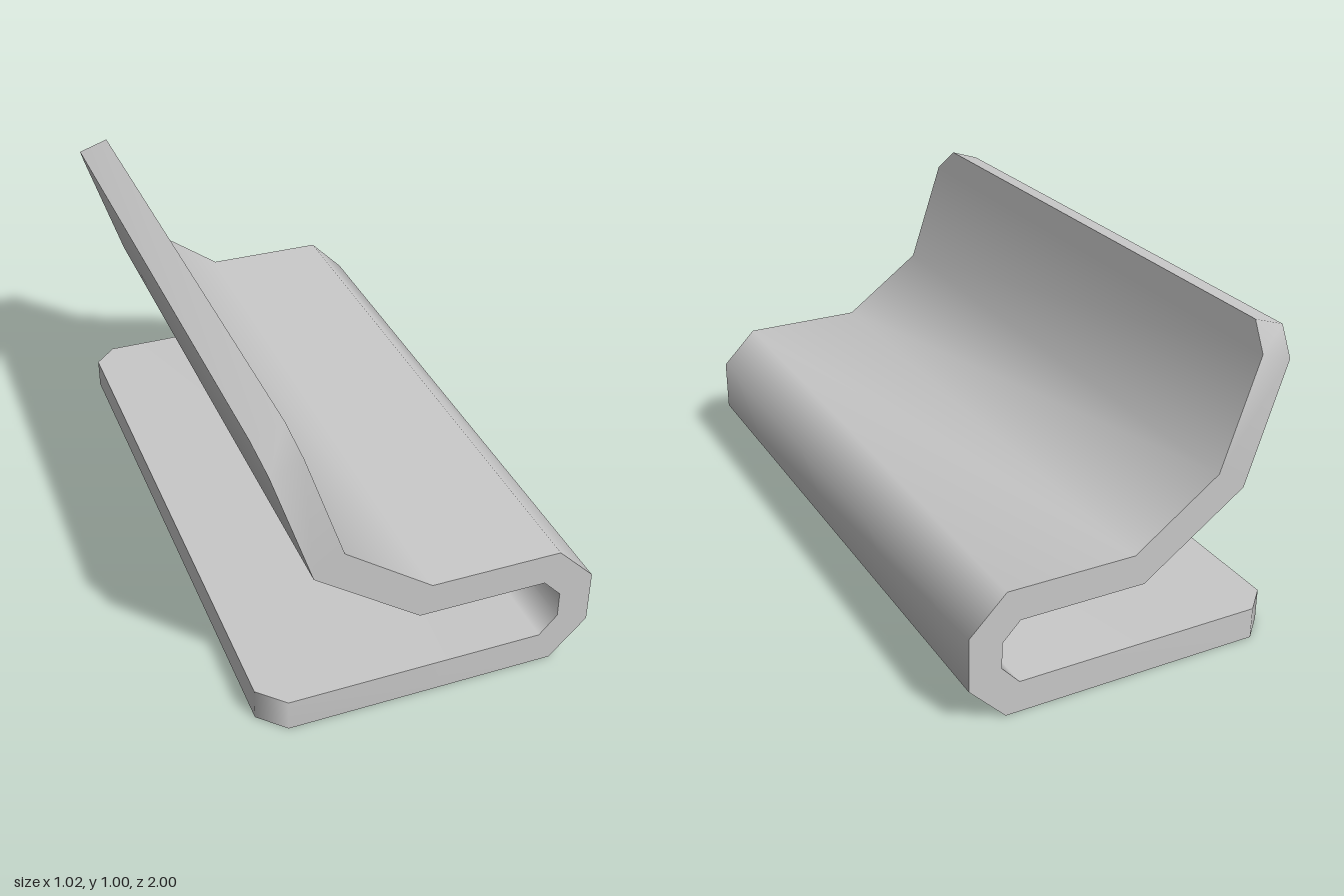
import * as THREE from 'three';

// Cross-sections along the bent sheet: outer x, y, inner x, y, half width in z
const SECTIONS = [
  [-0.51, 0, -0.51, 0.1, 0.925],
  [-0.435, 0, -0.435, 0.1, 1],
  [0.392, 0, 0.35, 0.1, 1],
  [0.506, 0.117, 0.405, 0.16, 1],
  [0.506, 0.285, 0.405, 0.242, 1],
  [0.392, 0.4, 0.35, 0.3, 1],
  [-0.008, 0.4, -0.042, 0.3, 1],
  [-0.272, 0.59, -0.36, 0.527, 1],
  [-0.386, 0.928, -0.481, 0.897, 1],
  [-0.41, 1, -0.506, 0.968, 0.925],
];

// Smooth strip through rows of point pairs
function strip(name, rows, material, closed = false) {
  const geometry = new THREE.BufferGeometry();
  geometry.setAttribute('position', new THREE.Float32BufferAttribute(rows.flat(2), 3));
  const index = [];
  const count = closed ? rows.length : rows.length - 1;
  for (let i = 0; i < count; i++) {
    const p = 2 * i, q = p + 1;
    const r = 2 * ((i + 1) % rows.length), s = r + 1;
    index.push(p, r, q, q, r, s);
  }
  geometry.setIndex(index);
  geometry.computeVertexNormals();
  const mesh = new THREE.Mesh(geometry, material);
  mesh.name = name;
  return mesh;
}

export function createModel() {
  const metal = new THREE.MeshStandardMaterial({ color: 0xc8c8c8 });
  metal.name = 'grey metal';
  const group = new THREE.Group();
  group.name = 'bentClip';

  // Two broad faces of the sheet
  const outer = SECTIONS.map(([x, y, , , w]) => [[x, y, -w], [x, y, w]]);
  const inner = SECTIONS.map(([, , x, y, w]) => [[x, y, w], [x, y, -w]]);
  group.add(strip('outerFace', outer, metal), strip('innerFace', inner, metal));

  // Rim running around both sides and both clipped ends
  const side = (s) => SECTIONS.map(([a, b, c, d, w]) => [[a, b, s * w], [c, d, s * w]]);
  group.add(strip('rim', [...side(1), ...side(-1).reverse()], metal, true));

  return group;
}
